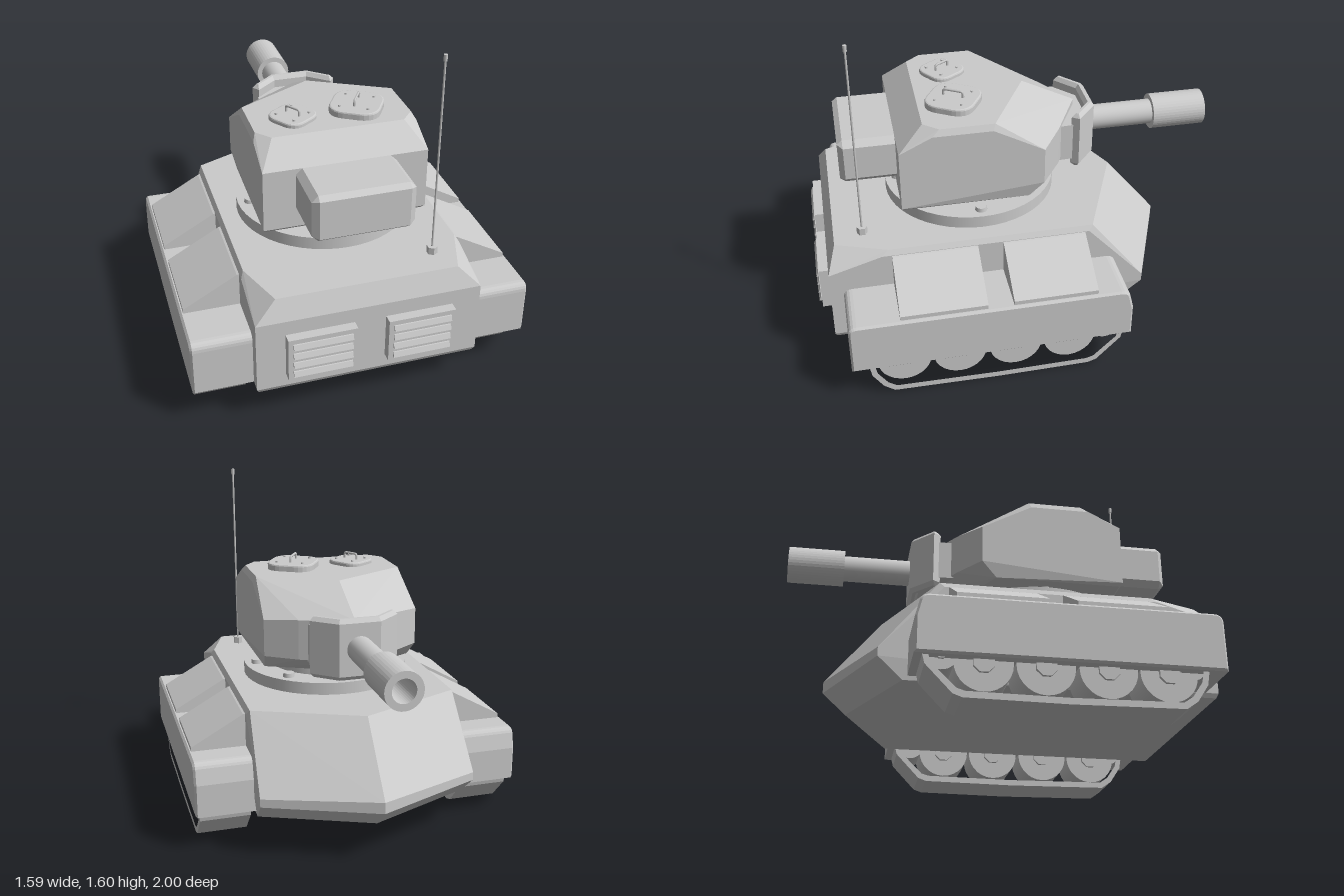
import * as THREE from 'three';
import { ConvexGeometry } from 'three/addons/geometries/ConvexGeometry.js';

const grey = new THREE.MeshStandardMaterial({ color: 0xcccccc });
const flat = new THREE.MeshStandardMaterial({ color: 0xcccccc, flatShading: true });

function add(parent, name, geometry, material = grey, x = 0, y = 0, z = 0) {
  const mesh = new THREE.Mesh(geometry, material);
  mesh.name = name;
  mesh.position.set(x, y, z);
  parent.add(mesh);
  return mesh;
}

// Convex block from points, mirrored over x = 0 when asked
function block(points, mirror = true) {
  const list = [];
  for (const [x, y, z] of points) {
    list.push(new THREE.Vector3(x, y, z));
    if (mirror && x !== 0) list.push(new THREE.Vector3(-x, y, z));
  }
  return new ConvexGeometry(list);
}

const toShape = (pts) => new THREE.Shape(pts.map(([a, b]) => new THREE.Vector2(a, b)));

// Side profile (z, y) extruded across x and centred on x = 0
function sideExtrude(shape, width, bevel = 0) {
  const geo = new THREE.ExtrudeGeometry(shape, {
    depth: width - 2 * bevel, bevelEnabled: bevel > 0, bevelSize: bevel,
    bevelThickness: bevel, bevelOffset: -bevel, bevelSegments: 1, curveSegments: 5,
  });
  geo.translate(0, 0, -(width - 2 * bevel) / 2);
  return geo.rotateY(-Math.PI / 2);
}

const cyl = (r, h, n = 32, r2 = r) => new THREE.CylinderGeometry(r2, r, h, n);

function buildHull(parent) {
  add(parent, 'hull', block([
    [0.51, 0.16, 0.93], [0.51, 0.16, -0.46], [0, 0.16, -0.68],
    [0.52, 0.18, 0.94], [0.52, 0.53, 0.94],
    [0.52, 0.26, -0.57], [0.52, 0.30, -0.57], [0, 0.26, -0.79], [0, 0.315, -0.79],
    [0.42, 0.63, 0.90], [0.52, 0.605, 0.69], [0.505, 0.63, 0.66],
    [0.505, 0.63, -0.31], [0.52, 0.605, -0.29], [0, 0.63, -0.53],
  ]), flat);

  // Louvred engine vents
  for (const s of [-1, 1]) {
    add(parent, 'ventPanel', new THREE.BoxGeometry(0.315, 0.215, 0.05), grey, s * 0.23, 0.352, 0.96);
    for (let i = 0; i < 4; i++) {
      const fin = toShape([[0.97, 0.015], [0.97, -0.012], [1.0, -0.012], [0.99, 0.012]]);
      add(parent, 'ventLouvre', sideExtrude(fin, 0.27), flat, s * 0.23, 0.277 + i * 0.049, 0);
    }
  }

  // Antenna
  add(parent, 'antennaBase', cyl(0.025, 0.04, 6), flat, 0.35, 0.645, 0.765);
  add(parent, 'antennaRod', cyl(0.005, 0.93, 8), grey, 0.35, 1.12, 0.765);
  add(parent, 'antennaTip', cyl(0.009, 0.03, 8), grey, 0.35, 1.59, 0.765);
}

function buildRunningGear(parent, s) {
  // Skirt with rounded upper corners
  const skirt = new THREE.Shape();
  skirt.moveTo(0.88, 0.18);
  skirt.lineTo(0.88, 0.40);
  skirt.quadraticCurveTo(0.88, 0.44, 0.84, 0.44);
  skirt.lineTo(-0.38, 0.44);
  skirt.quadraticCurveTo(-0.42, 0.44, -0.425, 0.40);
  skirt.lineTo(-0.44, 0.34);
  skirt.lineTo(-0.44, 0.18);
  add(parent, 'trackSkirt', sideExtrude(skirt, 0.295, 0.01), flat, s * 0.648, 0, 0);

  // Sloped stowage wedges on the skirt
  for (const [z0, z1] of [[-0.27, 0.125], [0.245, 0.645]]) {
    const pts = [];
    for (const z of [z0, z1]) {
      for (const [x, y] of [[0.51, 0.43], [0.51, 0.605], [0.53, 0.60], [0.78, 0.46], [0.78, 0.43]]) {
        pts.push([s * x, y, z]);
      }
    }
    add(parent, 'stowageWedge', block(pts, false), flat);
  }

  // Track loop
  const loop = toShape([[0.805, 0.2], [0.79, 0.12], [0.74, 0.045], [0.69, 0.01], [0.2, 0.002],
    [-0.24, 0.006], [-0.28, 0.02], [-0.395, 0.14], [-0.41, 0.2], [-0.38, 0.34], [0.76, 0.34]]);
  loop.holes.push(new THREE.Path([[0.78, 0.2], [0.765, 0.13], [0.72, 0.065], [0.68, 0.038], [0.2, 0.03],
    [-0.23, 0.034], [-0.265, 0.045], [-0.372, 0.15], [-0.385, 0.2], [-0.36, 0.32], [0.74, 0.32]]
    .map(([a, b]) => new THREE.Vector2(a, b))));
  add(parent, 'track', sideExtrude(loop, 0.24), grey, s * 0.65, 0, 0);

  // Road wheels, then the smaller end wheels
  const wheels = [0.635, 0.375, 0.11, -0.15].map((z) => [z, 0.17, 0.125]);
  wheels.push([-0.325, 0.2, 0.07], [0.745, 0.2, 0.05]);
  for (const [z, y, r] of wheels) {
    const wheel = add(parent, 'roadWheel', cyl(r, 0.18, 28), grey, s * 0.65, y, z);
    wheel.rotation.z = Math.PI / 2;
    const hub = add(parent, 'wheelHub', cyl(r * 0.38, 0.21, 8), flat, s * 0.65, y, z);
    hub.rotation.set(Math.PI / 8, 0, Math.PI / 2);
  }
}

// Rounded-square hatch with bolts and a grab handle
function buildHatch(parent, x, z, r, h, turn) {
  const hatch = new THREE.Group();
  hatch.name = 'hatch';
  hatch.position.set(x, 1.155, z);
  hatch.rotation.y = turn;
  parent.add(hatch);
  const outline = [];
  for (let i = 0; i < 40; i++) {
    const a = (i / 40) * Math.PI * 2;
    const k = r * (0.96 - 0.07 * Math.cos(4 * a));
    outline.push([k * Math.cos(a), k * Math.sin(a)]);
  }
  const lid = new THREE.ExtrudeGeometry(toShape(outline), {
    depth: h - 0.008, bevelEnabled: true, bevelSize: 0.008, bevelThickness: 0.008, bevelOffset: -0.008, bevelSegments: 2,
  }).rotateX(-Math.PI / 2);
  add(hatch, 'hatchLid', lid);
  for (let i = 0; i < 4; i++) {
    const a = Math.PI / 4 + (i * Math.PI) / 2;
    add(hatch, 'hatchBolt', cyl(0.007, 0.01, 8), grey, r * 0.7 * Math.cos(a), h + 0.003, r * 0.7 * Math.sin(a));
  }
  const w = r * 0.36;
  const path = new THREE.CatmullRomCurve3([[-w, 0], [-w, 0.022], [-w * 0.8, 0.029], [w * 0.8, 0.029], [w, 0.022], [w, 0]]
    .map(([a, b]) => new THREE.Vector3(0, h + b, a)), false, 'catmullrom', 0.2);
  add(hatch, 'hatchHandle', new THREE.TubeGeometry(path, 20, 0.006, 6));
}

function buildTurret(parent) {
  // Turret ring and bolts
  add(parent, 'turretRing', cyl(0.42, 0.065, 48), grey, 0, 0.6575, 0.2);
  add(parent, 'turretNeck', cyl(0.29, 0.08, 48), grey, 0, 0.72, 0.19);
  for (let i = 0; i < 8; i++) {
    const a = (i * Math.PI) / 4;
    add(parent, 'ringBolt', cyl(0.03, 0.025, 12, 0.027), grey, 0.36 * Math.cos(a), 0.698, 0.2 + 0.36 * Math.sin(a));
  }

  add(parent, 'turretBody', block([
    [0, 1.16, -0.07], [0.37, 1.16, 0.13], [0.37, 1.16, 0.385], [0.31, 1.16, 0.455],
    [0.385, 1.13, 0.14], [0.385, 1.13, 0.42], [0.385, 1.055, 0.575], [0.385, 0.76, 0.575],
    [0.37, 0.745, 0.56], [0.385, 1.0, -0.10], [0.385, 0.82, -0.10],
    [0.24, 1.015, -0.2], [0.24, 0.82, -0.2],
    [0, 1.03, -0.33], [0, 0.82, -0.33], [0.37, 0.745, -0.03], [0, 0.745, -0.21],
  ]), flat);

  // Stowage box on the turret rear
  const c = 0.03, box = [];
  for (const [x, y] of [[0.235, 0.83 + c], [0.235 - c, 0.83], [0.235, 1.055 - c], [0.235 - c, 1.055]]) {
    box.push([x, y, 0.55], [x, y, 0.815]);
  }
  box.push([0.205, 0.85, 0.84], [0.205, 1.035, 0.84]);
  add(parent, 'turretBox', block(box), flat);

  // Mantlet: a bent armour plate over a solid core
  const section = [[-0.215, -0.31], [-0.10, -0.41], [0.10, -0.41], [0.215, -0.31], [0.19, -0.275], [0.085, -0.365], [-0.085, -0.365], [-0.19, -0.275]];
  const plate = new THREE.ExtrudeGeometry(toShape(section.map(([x, z]) => [x, -z])), {
    depth: 0.255, bevelThickness: 0.02, bevelSize: 0.015, bevelOffset: -0.015, bevelSegments: 1,
  }).rotateX(-Math.PI / 2);
  add(parent, 'mantletPlate', plate, flat, 0, 0.785, 0);
  add(parent, 'mantletCore', block([
    [0.195, 0.81, -0.29], [0.195, 1.0, -0.29], [0.09, 0.81, -0.385], [0.09, 1.0, -0.385],
    [0.2, 0.81, -0.2], [0.2, 1.0, -0.2],
  ]), flat);

  // Gun barrel and hollow muzzle sleeve
  const barrel = add(parent, 'gunBarrel', cyl(0.0625, 0.45, 32), grey, 0, 0.915, -0.55);
  barrel.rotation.x = Math.PI / 2;
  const ring = new THREE.Shape().absarc(0, 0, 0.088, 0, Math.PI * 2);
  ring.holes.push(new THREE.Path().absarc(0, 0, 0.055, 0, Math.PI * 2, true));
  const sleeve = new THREE.ExtrudeGeometry(ring, { depth: 0.27, bevelEnabled: false, curveSegments: 20 });
  add(parent, 'muzzleSleeve', sleeve, grey, 0, 0.915, -1.0);

  buildHatch(parent, 0.14, 0.285, 0.135, 0.038, -0.54);
  buildHatch(parent, -0.17, 0.295, 0.107, 0.026, 0.6);
}

export function createModel() {
  const tank = new THREE.Group();
  tank.name = 'tank';
  const parts = { hullGroup: buildHull, turret: buildTurret };
  for (const [name, build] of Object.entries(parts)) {
    const group = new THREE.Group();
    group.name = name;
    build(group);
    tank.add(group);
  }
  for (const s of [-1, 1]) {
    const side = new THREE.Group();
    side.name = s > 0 ? 'leftRunningGear' : 'rightRunningGear';
    buildRunningGear(side, s);
    tank.add(side);
  }
  return tank;
}
